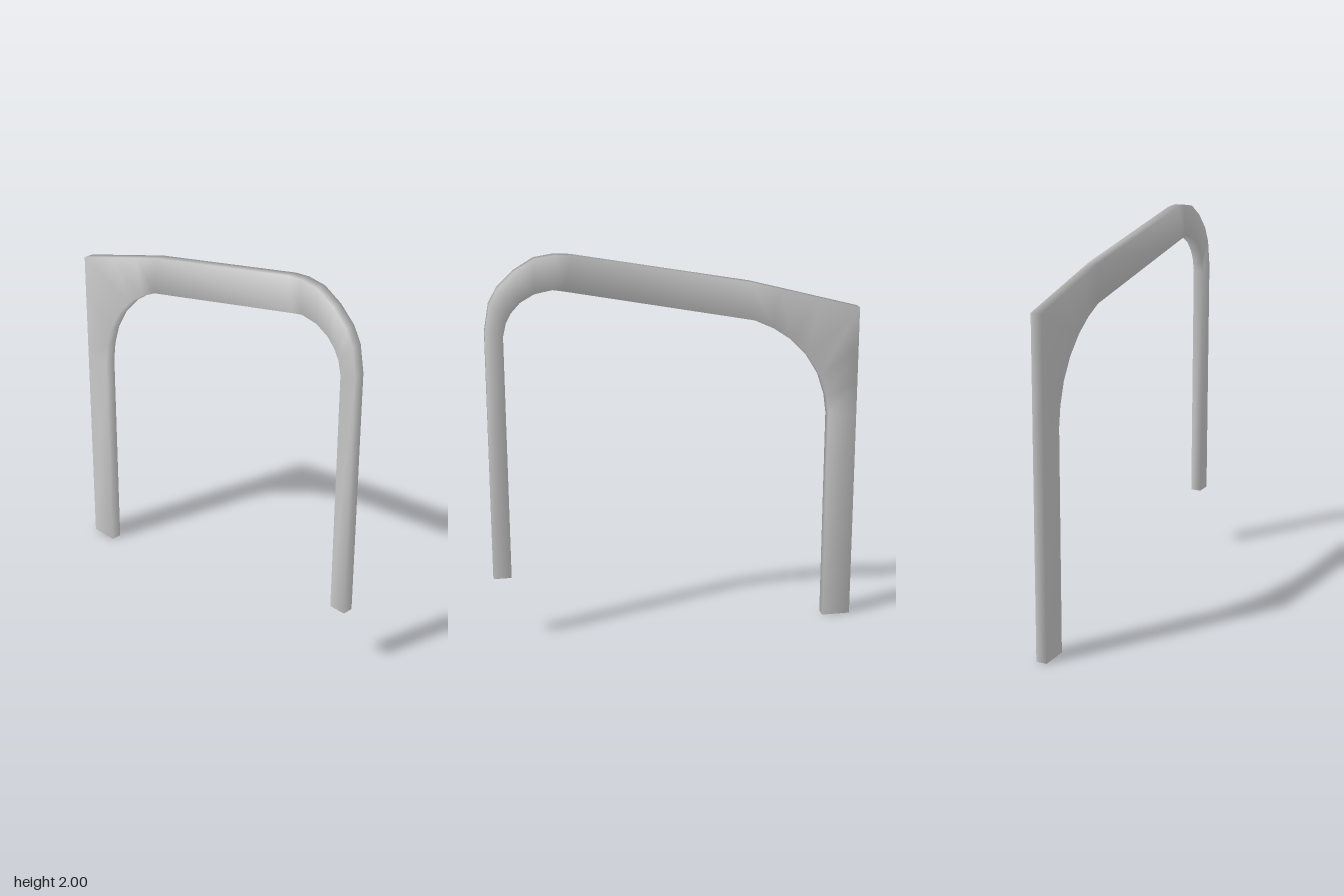
import * as THREE from 'three';

const HALF_WIDTH = 0.028;

// Stations along the frame, front leg foot to rear leg foot:
// [outer z, outer y, inner z, inner y]
const stations = [
  // front leg
  [0.95, 0.345, 0.86, 0.345],
  [0.95, 1.63, 0.862, 1.607],
  // front bend
  [0.926, 1.767, 0.846, 1.676],
  [0.883, 1.846, 0.82, 1.724],
  [0.8, 1.926, 0.775, 1.773],
  [0.7, 1.985, 0.705, 1.813],
  [0.6, 2.0, 0.615, 1.83],
  [0.52, 1.995, 0.56, 1.821],
  // sloping top bar
  [-0.38, 1.83, -0.4, 1.636],
  // rear corner, sharp outside and arched inside
  [-0.53, 1.791, -0.5, 1.59],
  [-0.73, 1.738, -0.595, 1.526],
  [-0.95, 1.68, -0.685, 1.435],
  [-0.95, 1.47, -0.75, 1.33],
  [-0.95, 1.28, -0.786, 1.22],
  [-0.95, 1.12, -0.8, 1.12],
  // rear leg
  [-0.95, 0, -0.8, 0],
];

// Lofts a four-cornered section through the stations, sharing vertices for soft shading
function loftFrame() {
  const positions = [];
  const index = [];
  for (const [oz, oy, iz, iy] of stations) {
    positions.push(HALF_WIDTH, oy, oz, -HALF_WIDTH, oy, oz);
    positions.push(-HALF_WIDTH, iy, iz, HALF_WIDTH, iy, iz);
  }
  const last = (stations.length - 1) * 4;
  for (let s = 0; s < last; s += 4) {
    for (let k = 0; k < 4; k++) {
      const a = s + k;
      const b = s + ((k + 1) % 4);
      index.push(b, a, a + 4, b, a + 4, b + 4);
    }
  }
  // feet
  index.push(0, 1, 2, 0, 2, 3);
  index.push(last, last + 2, last + 1, last, last + 3, last + 2);

  const geometry = new THREE.BufferGeometry();
  geometry.setAttribute('position', new THREE.Float32BufferAttribute(positions, 3));
  geometry.setIndex(index);
  geometry.computeVertexNormals();
  return geometry;
}

export function createModel() {
  const group = new THREE.Group();
  group.name = 'armrestFrame';
  const frame = new THREE.Mesh(loftFrame(), new THREE.MeshStandardMaterial({ color: 0xcccccc }));
  frame.name = 'bentFrame';
  group.add(frame);
  return group;
}
